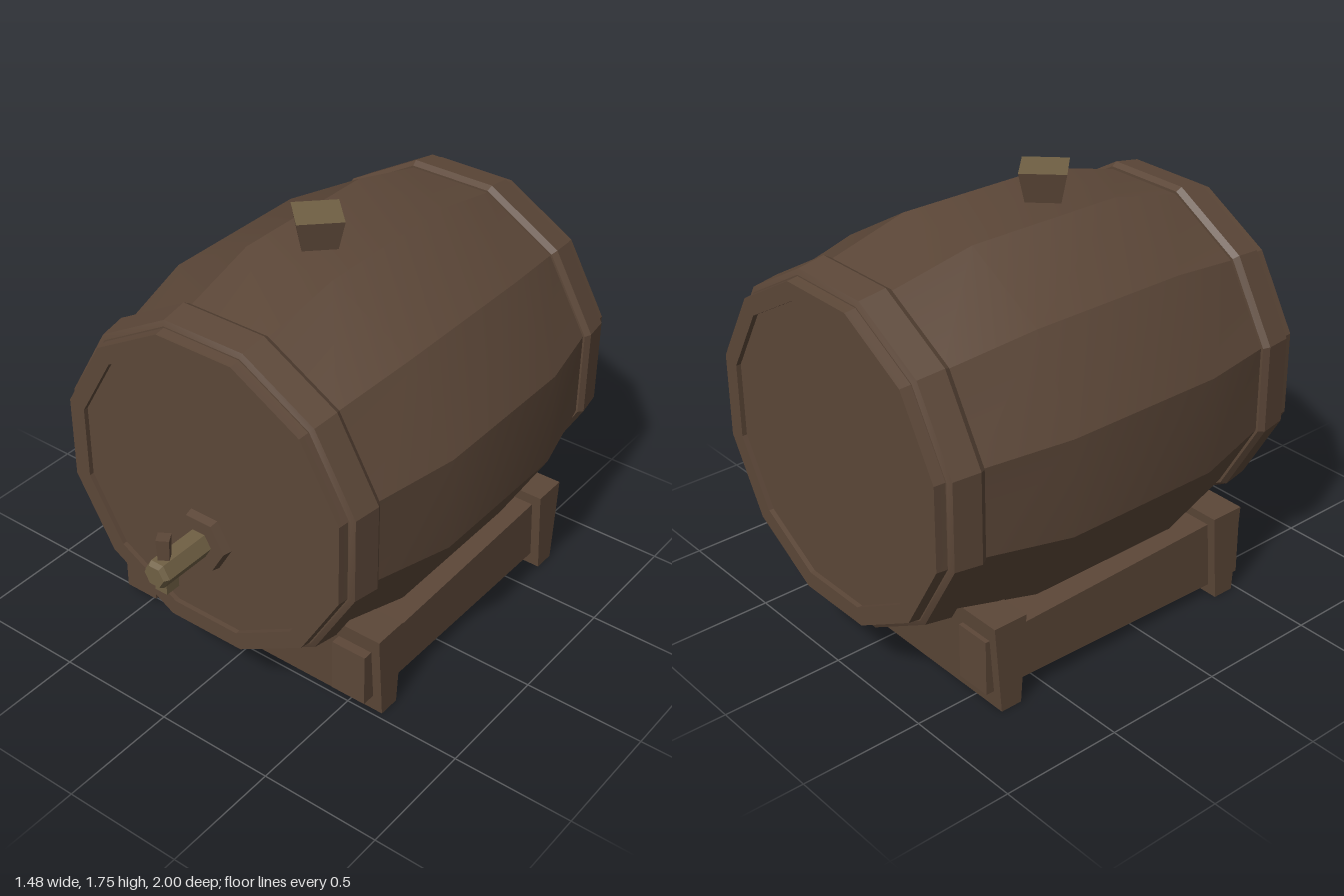
import * as THREE from 'three';
import { toCreasedNormals } from 'three/addons/utils/BufferGeometryUtils.js';

const material = (name, color) => {
  const m = new THREE.MeshStandardMaterial({ color });
  m.name = name;
  return m;
};

export function createModel() {
  const group = new THREE.Group();
  const wood = material('brown wood', 0x5c4738);
  const brass = material('dull brass', 0x706044);
  const axisY = 0.888;

  const add = (name, geometry, mat, x = 0, y = 0, z = 0) => {
    const mesh = new THREE.Mesh(toCreasedNormals(geometry, 0.4), mat);
    mesh.name = name;
    mesh.position.set(x, y, z);
    group.add(mesh);
    return mesh;
  };

  // Twelve-sided ring or solid around the z axis; profile is [flat radius, z]
  const turned = (profile) => {
    const k = 1 / Math.cos(Math.PI / 12);
    const points = profile.map(([r, z]) => new THREE.Vector2(r * k, z));
    return new THREE.LatheGeometry(points, 12, Math.PI / 12).rotateX(Math.PI / 2);
  };

  // Box whose corners are moved by a rule
  const shapedBox = (w, h, d, rule) => {
    const geometry = new THREE.BoxGeometry(w, h, d);
    const p = geometry.attributes.position;
    const v = new THREE.Vector3();
    for (let i = 0; i < p.count; i++) {
      rule(v.fromBufferAttribute(p, i));
      p.setXYZ(i, v.x, v.y, v.z);
    }
    return geometry;
  };

  // Bulging body with a recessed head at each end
  add('barrelBody', turned([
    [0, -0.98], [0.565, -0.98], [0.565, -1], [0.635, -1],
    [0.655, -0.83], [0.74, -0.47], [0.74, 0.21], [0.655, 0.56],
    [0.635, 0.74], [0.565, 0.74], [0.565, 0.72], [0, 0.72],
  ]), wood, 0, axisY);

  // Hoops, mirrored about the middle of the barrel
  const hoop = [[0.62, 0.55], [0.668, 0.55], [0.682, 0.575], [0.665, 0.685], [0.645, 0.695], [0.62, 0.695]];
  add('frontHoop', turned(hoop), wood, 0, axisY);
  add('backHoop', turned(hoop.map(([r, z]) => [r, -0.26 - z]).reverse()), wood, 0, axisY);

  // Bung on top
  add('bung', new THREE.CylinderGeometry(0.127, 0.083, 0.17, 4), [wood, brass, wood], -0.017, 1.663, 0.02);

  // Tap: flange, pipe, nose, spout and handle
  const hex = (front, back, length) =>
    new THREE.CylinderGeometry(front, back, length, 6, 1, false, Math.PI / 6).rotateX(Math.PI / 2);
  const tapY = 0.692;
  add('tapFlange', hex(0.118, 0.13, 0.05), wood, 0, tapY, 0.73);
  add('tapPipe', hex(0.058, 0.058, 0.24), brass, 0, tapY, 0.86);
  add('tapNose', hex(0.046, 0.058, 0.02), brass, 0, tapY, 0.99);
  add('tapSpout', new THREE.BoxGeometry(0.056, 0.09, 0.066), brass, 0, 0.645, 0.935);
  const handle = add('tapHandle', shapedBox(0.05, 0.13, 0.05, (v) => {
    if (v.y < 0) { v.x *= 0.8; v.z *= 0.8; }
  }), wood, -0.002, 0.768, 0.937);
  handle.rotation.y = 0.55;

  // Cradle cross beams, narrower at the foot
  for (const [name, z] of [['frontBeam', 0.43], ['backBeam', -0.683]]) {
    add(name, shapedBox(1.29, 0.375, 0.148, (v) => {
      if (v.y < 0) v.z *= 0.62;
    }), wood, 0, 0.1875, z);
  }

  // Cradle side rails, running through the beams: [bottom, top] at each end
  const rails = [
    { name: 'leftRail', x: 0.53, front: [0.075, 0.305], back: [0.055, 0.33] },
    { name: 'rightRail', x: -0.532, front: [0.04, 0.34], back: [0.075, 0.305] },
  ];
  for (const { name, x, front, back } of rails) {
    add(name, shapedBox(0.152, 1, 1.31, (v) => {
      const end = v.z > 0 ? front : back;
      v.y = v.y > 0 ? end[1] : end[0];
    }), wood, x, 0, -0.115);
  }

  return group;
}
